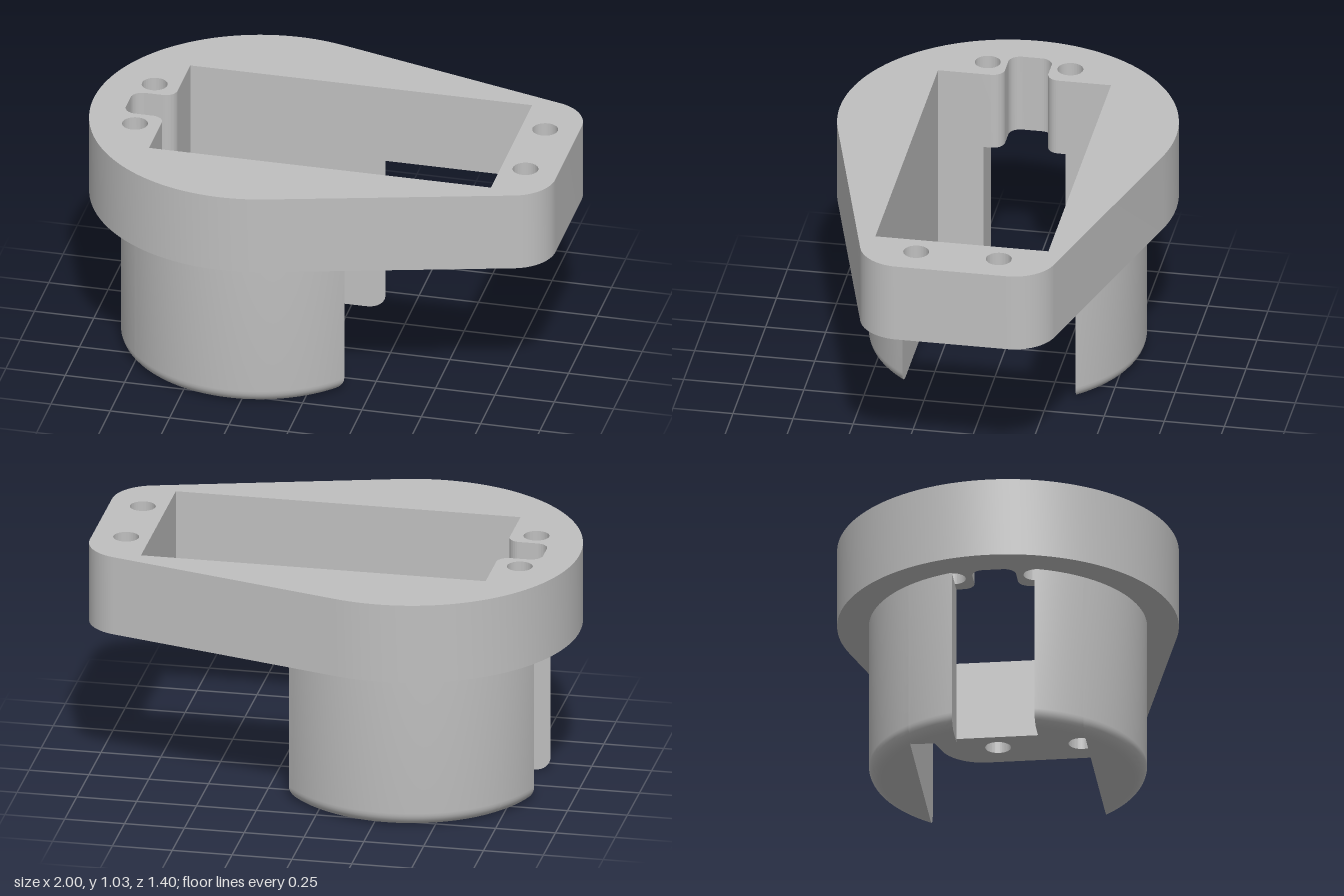
import * as THREE from 'three';
import { toCreasedNormals } from 'three/addons/utils/BufferGeometryUtils.js';

const CX = -0.3;                       // centre of the round end
const PLATE_BOTTOM = 0.69, PLATE_TOP = 1.03;
const POCKET_X = -0.68, POCKET_END = 0.76, POCKET_Z = 0.36;
const LEG_R = 0.57, LEG_FILLET = 0.06, SLOT_Z = 0.17;

// Teardrop plate with the pocket, cable notch and four screw holes
function plateGeometry() {
  const a = THREE.MathUtils.degToRad(74.5);
  const shape = new THREE.Shape();
  shape.absarc(CX, 0, 0.7, a, 2 * Math.PI - a, false);
  shape.absarc(0.82, -0.23, 0.18, -a, 0, false);
  shape.absarc(0.82, 0.23, 0.18, 0, a, false);
  shape.closePath();

  const n = 0.09, r = 0.05, back = -0.855, h = Math.PI / 2;
  const pocket = new THREE.Path();
  pocket.moveTo(POCKET_END, -POCKET_Z);
  pocket.lineTo(POCKET_END, POCKET_Z);
  pocket.lineTo(POCKET_X, POCKET_Z);
  pocket.absarc(POCKET_X - r, n + r, r, 0, -h, true);
  pocket.absarc(back + r, n - r, r, h, 2 * h, false);
  pocket.absarc(back + r, r - n, r, 2 * h, 3 * h, false);
  pocket.absarc(POCKET_X - r, -n - r, r, h, 0, true);
  pocket.lineTo(POCKET_X, -POCKET_Z);
  pocket.closePath();
  shape.holes.push(pocket);

  for (const x of [-0.785, 0.86]) {
    for (const z of [-0.172, 0.172]) {
      shape.holes.push(new THREE.Path().absarc(x, z, 0.053, 0, 2 * Math.PI, false));
    }
  }
  const geo = new THREE.ExtrudeGeometry(shape, {
    depth: PLATE_TOP - PLATE_BOTTOM, bevelEnabled: false, curveSegments: 40,
  });
  geo.rotateX(Math.PI / 2).translate(0, PLATE_TOP, 0);
  return toCreasedNormals(geo, 0.5);
}

// Points on the leg circle between two angles
function arc(r, from, to, count = 32) {
  return Array.from({ length: count + 1 }, (_, i) => {
    const t = from + (to - from) * i / count;
    return [CX + r * Math.cos(t), r * Math.sin(t)];
  });
}

// Cross-section of the curved side wall
function wallSection(r) {
  const t = Math.asin(POCKET_Z / r);
  return arc(r, Math.PI - t, t);
}

// Cross-section of the wall's return beside the slot
function returnSection(r) {
  const zEnd = Math.min(POCKET_Z, Math.sqrt(r * r - (POCKET_X - CX) ** 2));
  return [
    [POCKET_X, SLOT_Z],
    ...arc(r, Math.PI - Math.asin(SLOT_Z / r), Math.PI - Math.asin(zEnd / r), 12),
    [POCKET_X, zEnd],
  ];
}

// Lofts a section from the rounded bottom edge up to the plate
function legGeometry(section, side) {
  const levels = [];
  for (let i = 0; i <= 8; i++) {
    const t = (i / 8) * Math.PI / 2;
    levels.push([LEG_FILLET * (1 - Math.cos(t)), LEG_R - LEG_FILLET * (1 - Math.sin(t))]);
  }
  levels.push([PLATE_BOTTOM, LEG_R]);

  const rings = levels.map(([y, r]) => {
    const ring = section(r).map(([x, z]) => [x, y, z * side]);
    return side < 0 ? ring.reverse() : ring;
  });
  const pos = [];
  const tri = (a, b, c) => pos.push(...a, ...b, ...c);
  for (let k = 0; k + 1 < rings.length; k++) {
    const lo = rings[k], hi = rings[k + 1];
    for (let i = 0; i < lo.length; i++) {
      const j = (i + 1) % lo.length;
      tri(lo[i], lo[j], hi[j]);
      tri(lo[i], hi[j], hi[i]);
    }
  }
  const bottom = rings[0], top = rings[rings.length - 1];
  for (let i = 1; i + 1 < top.length; i++) {
    tri(top[0], top[i], top[i + 1]);
    tri(bottom[0], bottom[i + 1], bottom[i]);
  }
  const geo = new THREE.BufferGeometry();
  geo.setAttribute('position', new THREE.Float32BufferAttribute(pos, 3));
  return toCreasedNormals(geo, 0.5);
}

export function createModel() {
  const grey = new THREE.MeshStandardMaterial({ color: 0xbfbfbf });
  grey.name = 'grey';
  const model = new THREE.Group();
  model.name = 'mountingBracket';
  const add = (parent, name, geo) => {
    const mesh = new THREE.Mesh(geo, grey);
    mesh.name = name;
    parent.add(mesh);
  };

  add(model, 'plate', plateGeometry());

  // Two mirrored legs under the round end
  for (const [name, side] of [['frontLeg', 1], ['backLeg', -1]]) {
    const leg = new THREE.Group();
    leg.name = name;
    add(leg, 'curvedWall', legGeometry(wallSection, side));
    add(leg, 'wallReturn', legGeometry(returnSection, side));
    model.add(leg);
  }
  return model;
}
